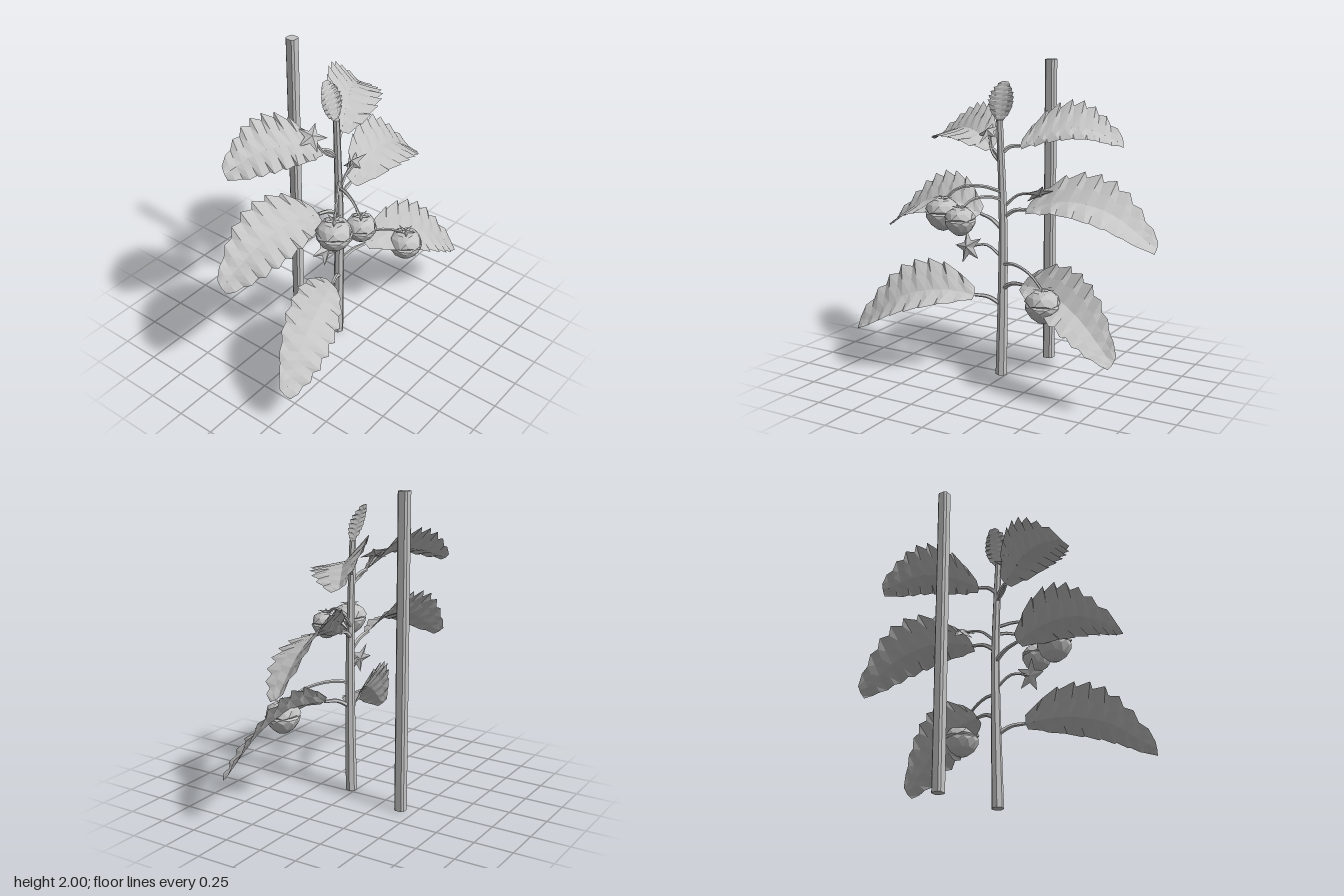
import * as THREE from 'three';

const grey = new THREE.MeshStandardMaterial({ color: 0xc4c4c4, flatShading: true, side: THREE.DoubleSide });
grey.name = 'plain grey';

const V = (a) => new THREE.Vector3(...a);
const curveOf = (pts) => new THREE.CatmullRomCurve3(pts.map(V));

function addMesh(parent, geometry, name) {
  const mesh = new THREE.Mesh(geometry, grey);
  mesh.name = name;
  parent.add(mesh);
  return mesh;
}

function indexed(positions, index) {
  const g = new THREE.BufferGeometry();
  g.setAttribute('position', new THREE.Float32BufferAttribute(positions, 3));
  g.setIndex(index);
  g.computeVertexNormals();
  return g;
}

// Square post with chamfered corners, standing on y = 0
function chamferedPost(half, chamfer, height) {
  const s = half - chamfer, h = half;
  const shape = new THREE.Shape([[h, -s], [h, s], [s, h], [-s, h], [-h, s], [-h, -s], [-s, -h], [s, -h]]
    .map(([x, y]) => new THREE.Vector2(x, y)));
  return new THREE.ExtrudeGeometry(shape, { depth: height, bevelEnabled: false }).rotateX(-Math.PI / 2);
}

// Tube whose radius tapers from r0 to r1, closed with flat ends
function taperedTube(pts, r0, r1, sides = 6, steps = 8) {
  const curve = curveOf(pts);
  const g = new THREE.TubeGeometry(curve, steps, 1, sides);
  const p = g.attributes.position, v = new THREE.Vector3();
  for (let i = 0; i < p.count; i++) {
    const t = Math.floor(i / (sides + 1)) / steps;
    const c = curve.getPointAt(t);
    v.fromBufferAttribute(p, i).sub(c).multiplyScalar(r0 + (r1 - r0) * t).add(c);
    p.setXYZ(i, v.x, v.y, v.z);
  }
  const pos = [...p.array], index = [...g.index.array];
  for (const [t, row] of [[0, 0], [1, steps]]) {
    const centre = pos.length / 3;
    pos.push(...curve.getPointAt(t).toArray());
    for (let j = 0; j < sides; j++) {
      const a = row * (sides + 1) + j;
      index.push(centre, t ? a : a + 1, t ? a + 1 : a);
    }
  }
  return indexed(pos, index);
}

// Half-width of a blade along its length, as a fraction of the maximum
const outline = [0.28, 0.66, 0.86, 0.97, 1, 0.98, 0.9, 0.76, 0.56, 0.27];
function widthAt(t) {
  const f = Math.min(t, 0.9999) * (outline.length - 1), i = Math.floor(f);
  return outline[i] + (outline[i + 1] - outline[i]) * (f - i);
}

// Saw-toothed blade folded along its midrib, pleated along forward-leaning veins
function leafBlade(pts, widths, sideDirs, teeth = 8) {
  const curve = curveOf(pts), pos = [], index = [], rows = teeth * 2;
  for (let i = 0; i <= rows; i++) {
    const t = i / rows, c = curve.getPointAt(t), tan = curve.getTangentAt(t);
    const out = i % 2 === 1;
    const add = (s, k) => {
      const w = widths[s] * widthAt(t) * (out ? 1.07 : 0.9);
      const n = new THREE.Vector3().crossVectors(tan, sideDirs[s]).normalize();
      if (n.y + n.z * 0.5 < 0) n.negate();
      const q = c.clone().addScaledVector(sideDirs[s], w * k)
        .addScaledVector(tan, w * k * (out ? 0.42 : 0.16) * (1 - t))
        .addScaledVector(n, (out ? 0.04 : -0.04) * k * widths[s]);
      pos.push(q.x, q.y, q.z);
    };
    add(0, 1);
    add(0, 0.5);
    pos.push(c.x, c.y, c.z);
    add(1, 0.5);
    add(1, 1);
    if (i < rows) for (let j = 0; j < 4; j++) {
      const a = i * 5 + j, b = a + 5;
      index.push(a, a + 1, b, a + 1, b + 1, b);
    }
  }
  return indexed(pos, index);
}

// Sides of a drooping leaf: the rear half rises, the front half falls
function rolledSides(pts, up, down) {
  const d = V(pts[pts.length - 1]).sub(V(pts[0]));
  const back = new THREE.Vector3(d.z, 0, -d.x).normalize();
  if (back.z > 0) back.negate();
  const tilt = (deg, s) => back.clone().multiplyScalar(s * Math.cos(deg * Math.PI / 180))
    .setY(Math.sin(deg * Math.PI / 180));
  return [tilt(up, 1), tilt(-down, -1)];
}

// Shallow star with raised petal ridges, facing +y
function star(points, rOut, rIn, ridge, droop) {
  const pos = [0, ridge, 0, 0, -ridge * 0.4, 0], index = [], n = points * 2;
  for (let i = 0; i < n; i++) {
    const a = i / n * Math.PI * 2, r = i % 2 ? rIn : rOut;
    pos.push(Math.cos(a) * r, i % 2 ? 0 : droop, Math.sin(a) * r);
    const p = 2 + i, q = 2 + (i + 1) % n;
    index.push(0, q, p, 1, p, q);
  }
  return indexed(pos, index);
}

// Squat fruit: lobed cap, a shallow crease round the middle and a blunt bowl underneath
function fruitBody(r) {
  const profile = [[0, 0.86], [0.52, 0.84], [0.84, 0.6], [1, 0.26], [0.94, 0.16], [1.02, 0.06],
    [0.98, -0.14], [0.74, -0.55], [0.36, -0.86], [0, -0.98]];
  const n = 10, pos = [], index = [];
  profile.forEach(([x, y], k) => {
    for (let j = 0; j < n; j++) {
      const a = (j + k / 2) / n * Math.PI * 2;
      const bump = k < 5 ? 1 + 0.06 * (j % 2 ? 1 : -1) : 1;
      pos.push(Math.cos(a) * x * r * bump, y * r, Math.sin(a) * x * r * bump);
      if (k < profile.length - 1) {
        const p = k * n + j, q = k * n + (j + 1) % n;
        index.push(p, q, p + n, q, q + n, p + n);
      }
    }
  });
  return indexed(pos, index);
}

export function createModel() {
  const model = new THREE.Group();
  model.name = 'stakedPlant';

  // Support stake and main stem
  addMesh(model, chamferedPost(0.033, 0.012, 2), 'stake').position.set(0.08, 0, -0.405);
  addMesh(model, taperedTube([[-0.036, 0, 0.035], [-0.025, 0.5, 0.036], [-0.021, 0.95, 0.034],
    [-0.032, 1.3, 0.033], [-0.048, 1.65, 0.032]], 0.038, 0.021, 7, 10), 'mainStem');

  // Leaves: stalk root, midrib points, rear and front half-widths, rise and fall angles
  const leaves = [
    ['lowerRightLeaf', [-0.03, 0.47, 0.04], [[-0.19, 0.53, 0.11], [-0.4, 0.555, 0.19], [-0.66, 0.49, 0.27], [-0.945, 0.28, 0.34]], [0.215, 0.17], 57, 28],
    ['lowerLeftLeaf', [-0.02, 0.58, 0.04], [[0.16, 0.645, 0.11], [0.37, 0.65, 0.19], [0.61, 0.555, 0.27], [0.88, 0.325, 0.34]], [0.21, 0.17], 57, 28],
    ['middleRightLeaf', [-0.02, 0.95, 0.03], [[-0.2, 1.04, 0.01], [-0.42, 1.1, -0.01], [-0.68, 1.06, -0.05], [-0.96, 0.885, -0.105]], [0.215, 0.19], 48, 20],
    ['middleLeftLeaf', [-0.02, 1.04, 0.03], [[0.13, 1.1, 0.01], [0.38, 1.17, -0.02], [0.66, 1.12, -0.06], [0.955, 0.92, -0.105]], [0.215, 0.19], 48, 20],
    ['upperRightLeaf', [-0.04, 1.38, 0.03], [[-0.13, 1.46, -0.02], [-0.3, 1.55, -0.1], [-0.48, 1.55, -0.19], [-0.695, 1.47, -0.28]], [0.2, 0.19], 46, 14],
    ['upperLeftLeaf', [-0.04, 1.44, 0.03], [[0.07, 1.49, -0.02], [0.24, 1.58, -0.11], [0.42, 1.6, -0.2], [0.635, 1.505, -0.31]], [0.2, 0.19], 46, 14],
  ];
  for (const [name, root, rib, widths, up, down] of leaves) {
    const leaf = new THREE.Group();
    leaf.name = name;
    const mid = V(root).lerp(V(rib[0]), 0.5);
    addMesh(leaf, taperedTube([root, [mid.x, mid.y + 0.02, mid.z], rib[0]], 0.016, 0.011, 5), 'leafStalk');
    addMesh(leaf, leafBlade(rib, widths, rolledSides(rib, up, down)), 'leafBlade');
    model.add(leaf);
  }

  // Young leaf standing at the stem tip
  addMesh(model, leafBlade([[-0.048, 1.64, 0.03], [-0.053, 1.73, 0.005], [-0.056, 1.81, -0.02], [-0.056, 1.88, -0.05]],
    [0.088, 0.088], [V([1, 0, 0.1]).normalize(), V([-1, 0, 0.1]).normalize()]), 'tipLeaf');

  // Fruits hanging from arched stalks, each with a small calyx
  const fruits = [
    [[-0.335, 1.065, 0.24], 0.11, [[-0.025, 1.2, 0.04], [-0.13, 1.24, 0.11], [-0.25, 1.23, 0.19], [-0.335, 1.15, 0.24]]],
    [[-0.165, 1.05, 0.31], 0.095, [[-0.025, 1.15, 0.04], [-0.07, 1.18, 0.12], [-0.13, 1.175, 0.23], [-0.165, 1.12, 0.31]]],
    [[0.39, 0.58, 0.27], 0.11, [[-0.02, 0.74, 0.04], [0.11, 0.765, 0.11], [0.27, 0.74, 0.2], [0.39, 0.67, 0.27]]],
  ];
  for (const [at, r, stalk] of fruits) {
    const fruit = new THREE.Group();
    fruit.name = 'fruit';
    addMesh(fruit, taperedTube(stalk, 0.012, 0.008, 5), 'fruitStalk');
    addMesh(fruit, fruitBody(r), 'fruitBody').position.set(...at);
    addMesh(fruit, star(5, r * 0.65, r * 0.2, r * 0.1, r * 0.08), 'calyx')
      .position.set(at[0], at[1] + r * 0.92, at[2]);
    model.add(fruit);
  }

  // Star flowers: centre, facing direction, radius, stalk start and bend
  const flowers = [
    [[-0.24, 0.835, 0.1], [-0.15, 0.25, 1], 0.11, [-0.025, 0.78, 0.04], [-0.13, 0.855, 0.06]],
    [[0.2, 1.2, -0.02], [-0.45, 0.7, -0.4], 0.1, [-0.025, 1.1, 0.03], [0.08, 1.19, 0.01]],
    [[-0.175, 1.555, -0.055], [-0.3, 0.75, 0.5], 0.1, [-0.04, 1.38, 0.03], [-0.12, 1.44, 0]],
  ];
  for (const [at, dir, r, root, bend] of flowers) {
    const flower = new THREE.Group();
    flower.name = 'flower';
    addMesh(flower, taperedTube([root, bend, at], 0.011, 0.007, 5), 'flowerStalk');
    const petals = addMesh(flower, star(5, r, r * 0.42, 0.026, -0.005), 'petals');
    petals.position.set(...at);
    petals.quaternion.setFromUnitVectors(new THREE.Vector3(0, 1, 0), V(dir).normalize());
    petals.rotateY(0.5);
    model.add(flower);
  }
  return model;
}
